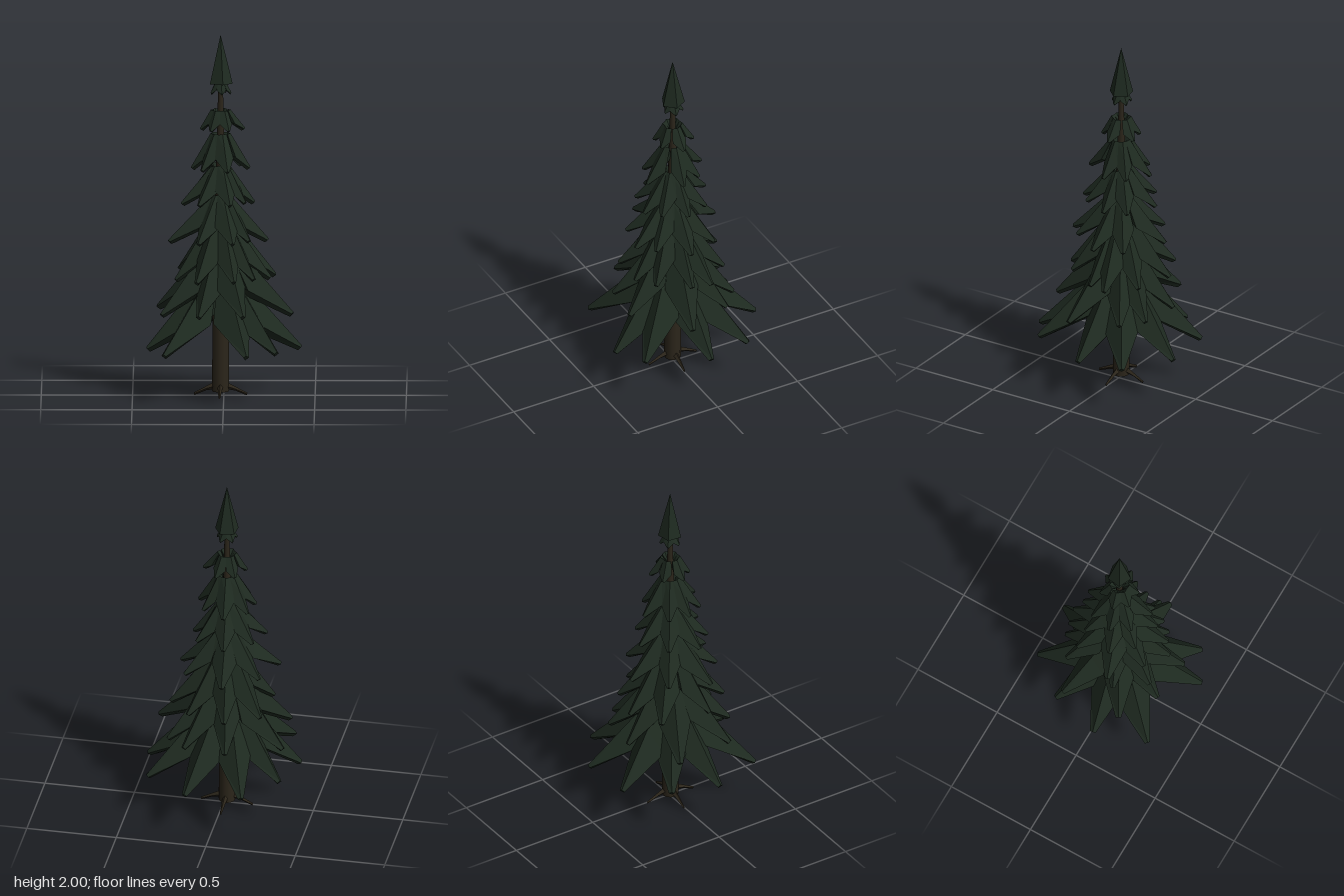
import * as THREE from 'three';

const needles = new THREE.MeshStandardMaterial({ color: 0x1e2a20, flatShading: true });
needles.name = 'dark green needles';
const bark = new THREE.MeshStandardMaterial({ color: 0x2b251a });
bark.name = 'dark brown bark';

// Closed solid from four-point rings: ridge, left edge, underside, right edge.
function loft(rings) {
  const index = [];
  for (let r = 0; r < rings.length - 1; r++) {
    for (let i = 0; i < 4; i++) {
      const a = r * 4 + i, b = r * 4 + (i + 1) % 4;
      index.push(a, b, a + 4, b, b + 4, a + 4);
    }
  }
  const e = (rings.length - 1) * 4;
  index.push(2, 1, 0, 3, 2, 0, e, e + 1, e + 2, e, e + 2, e + 3);
  const g = new THREE.BufferGeometry();
  g.setAttribute('position', new THREE.Float32BufferAttribute(rings.flat(2), 3));
  g.setIndex(index);
  const flat = g.toNonIndexed();
  flat.computeVertexNormals();
  return flat;
}

// Drooping wedge: blunt top by the trunk, wide shoulder, narrow blunt tip.
function branchGeometry(radius, yTip, yTop) {
  const h = yTop - yTip;
  const w = 0.016 + 0.19 * radius;
  const tip = Math.min(0.016, 0.006 + 0.025 * radius);
  const inner = Math.min(0.055, radius * 0.5);
  const mid = inner + 0.4 * (radius - inner);
  const top = Math.min(0.026, w * 0.6);
  return loft([
    [[inner, yTop, 0], [inner * 0.75, yTop - 0.02 * h, top],
      [0.012, yTip + 0.48 * h, 0], [inner * 0.75, yTop - 0.02 * h, -top]],
    [[mid, yTip + 0.62 * h, 0], [mid * 0.9, yTip + 0.35 * h, w],
      [mid * 0.8, yTip + 0.22 * h, 0], [mid * 0.9, yTip + 0.35 * h, -w]],
    [[radius, yTip + tip, 0], [radius - 0.004, yTip + tip * 0.4, tip],
      [radius - 0.02 * (radius > 0.1 ? 1 : 0.3), yTip - tip * 0.7, 0],
      [radius - 0.004, yTip + tip * 0.4, -tip]],
  ]);
}

// Each tier: tip height, top height, then [angle from left toward front, reach].
const TIERS = [
  [0.27, 0.72, [[0, 0.445], [48, 0.465], [72, 0.465], [131, 0.475], [171, 0.412],
    [212, 0.4], [249, 0.455], [289, 0.465], [327, 0.475]]],
  [0.47, 0.87, [[13, 0.41], [70, 0.365], [111, 0.335], [151, 0.375], [205, 0.385],
    [261, 0.32], [304, 0.34], [329, 0.35]]],
  [0.66, 1.0, [[6, 0.28], [48, 0.28], [75, 0.29], [116, 0.3], [158, 0.27],
    [222, 0.31], [262, 0.3], [308, 0.29], [345, 0.315]]],
  [0.87, 1.12, [[5, 0.265], [50, 0.25], [76, 0.28], [118, 0.26], [163, 0.3],
    [215, 0.26], [265, 0.28], [325, 0.26]]],
  [1.075, 1.28, [[0, 0.19], [46, 0.2], [76, 0.22], [125, 0.21], [165, 0.225],
    [215, 0.21], [264, 0.22], [318, 0.2]]],
  [1.26, 1.455, [[6, 0.165], [78, 0.19], [128, 0.17], [170, 0.165], [215, 0.17], [265, 0.19], [318, 0.16]]],
  [1.475, 1.585, [[0, 0.135], [65, 0.11], [120, 0.11], [170, 0.115], [235, 0.11], [292, 0.12]]],
  [1.675, 1.74, [[10, 0.06], [82, 0.055], [154, 0.06], [226, 0.06], [298, 0.06]]],
];

export function createModel() {
  const tree = new THREE.Group();
  tree.name = 'firTree';
  // Trunk axis sits slightly off centre
  const body = new THREE.Group();
  body.name = 'treeBody';
  body.position.set(-0.018, 0, -0.004);
  tree.add(body);

  // Tapered trunk
  const sideProfile = [[0.046, 0.022], [0.045, 0.38], [0.03, 1.1], [0.016, 1.6], [0.012, 1.76]];
  const trunk = new THREE.Mesh(
    new THREE.LatheGeometry(sideProfile.map(([x, y]) => new THREE.Vector2(x, y)), 12), bark);
  trunk.name = 'trunk';
  body.add(trunk);
  const base = new THREE.Mesh(new THREE.CircleGeometry(0.046, 12), bark);
  base.name = 'trunkBase';
  base.rotation.x = Math.PI / 2;
  base.position.y = 0.022;
  body.add(base);

  // Four spreading roots
  const rootGeometry = loft([
    [[0.02, 0.08, 0], [0.02, 0.055, 0.017], [0.02, 0.035, 0], [0.02, 0.055, -0.017]],
    [[0.08, 0.049, 0], [0.08, 0.037, 0.011], [0.08, 0.026, 0], [0.08, 0.037, -0.011]],
    [[0.147, 0.014, 0], [0.146, 0.008, 0.005], [0.143, 0, 0], [0.146, 0.008, -0.005]],
  ]);
  for (let i = 0; i < 4; i++) {
    const root = new THREE.Mesh(rootGeometry, bark);
    root.name = 'root';
    root.rotation.y = i * Math.PI / 2 - 0.04;
    body.add(root);
  }

  // Rings of drooping branches, slightly staggered in the lower tiers
  TIERS.forEach(([yTip, yTop, branches], t) => {
    const tier = new THREE.Group();
    tier.name = `branchTier${t + 1}`;
    branches.forEach(([angle, reach], i) => {
      const sag = t < 5 ? ((i * 3) % 4 - 1.5) * 0.006 : 0;
      const branch = new THREE.Mesh(branchGeometry(reach, yTip + sag, yTop + sag), needles);
      branch.name = 'branch';
      branch.rotation.y = -THREE.MathUtils.degToRad(angle);
      tier.add(branch);
    });
    body.add(tier);
  });

  // Pointed crown
  const crown = new THREE.Mesh(new THREE.ConeGeometry(0.067, 0.27, 5), needles);
  crown.name = 'crown';
  crown.position.y = 1.865;
  crown.rotation.y = 0.2;
  body.add(crown);

  return tree;
}
